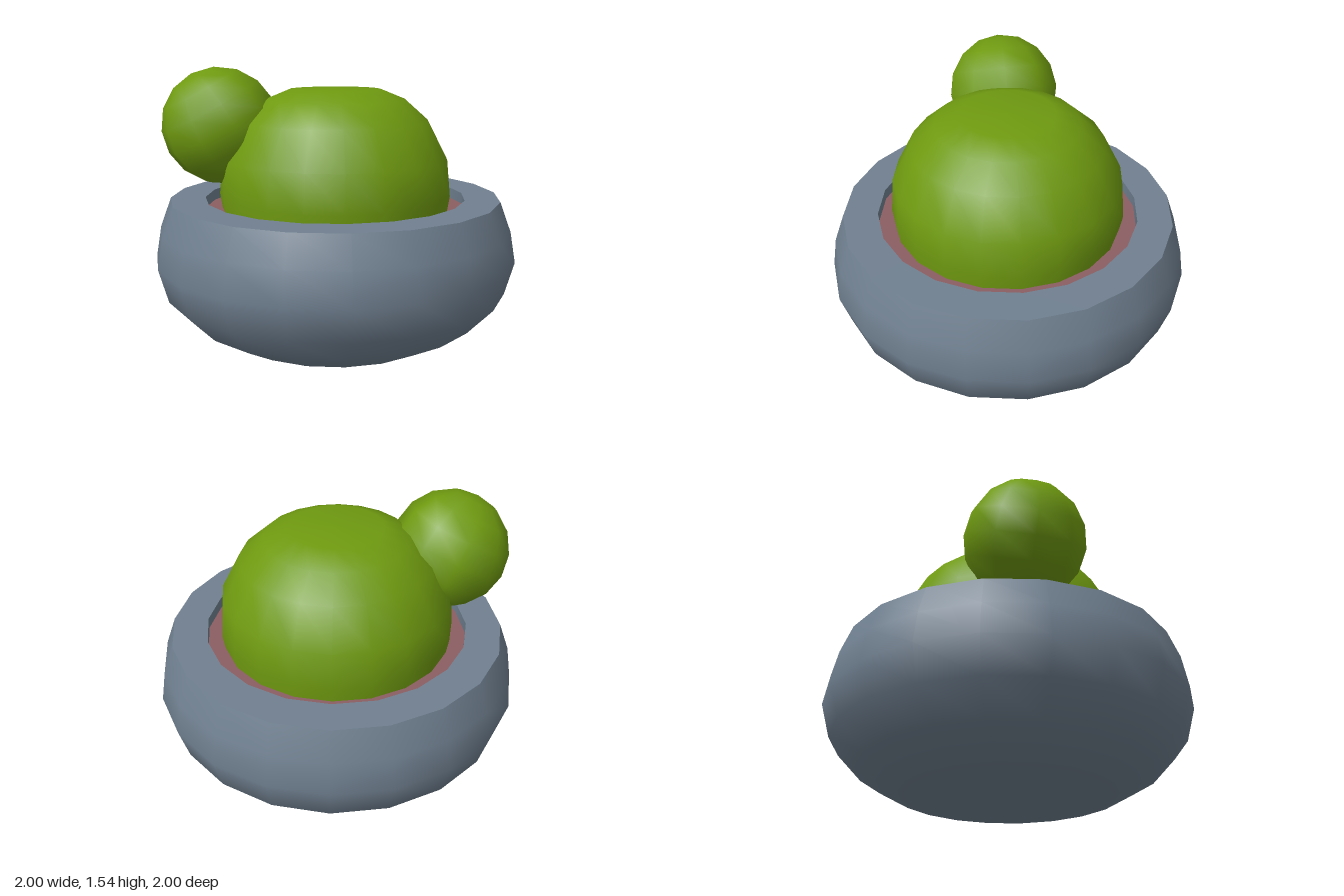
import * as THREE from 'three';

export function createModel() {
  const group = new THREE.Group();
  const material = (name, color) => {
    const m = new THREE.MeshStandardMaterial({ color });
    m.name = name;
    return m;
  };
  const slate = material('slate grey', 0x708090);
  const green = material('cactus green', 0x6f9a10);
  const soil = material('dusty red', 0x8b5e62);

  // Turned part with twenty sides, profile as [radius, height]
  const turned = (name, profile, mat) => {
    const points = profile.map(([r, y]) => new THREE.Vector2(r, y));
    const mesh = new THREE.Mesh(new THREE.LatheGeometry(points, 20, 0.042), mat);
    mesh.name = name;
    group.add(mesh);
  };

  // Pot: rounded outside, flat rim, short inner wall
  turned('potBody', [[0, 0], [0.41, 0.015], [0.62, 0.065], [0.81, 0.17], [0.95, 0.32],
    [1, 0.5], [0.97, 0.67], [0.91, 0.83]], slate);
  turned('potRim', [[0.91, 0.83], [0.72, 0.83]], slate);
  turned('potInnerWall', [[0.72, 0.83], [0.72, 0.76]], slate);
  turned('soil', [[0.72, 0.77], [0, 0.77]], soil);

  // Large cactus dome
  turned('cactusBody', [[0.6, 0.6], [0.64, 0.85], [0.62, 1.05], [0.515, 1.25],
    [0.385, 1.365], [0.25, 1.42], [0, 1.425]], green);

  // Small round offshoot, tilted away from the dome
  const bud = new THREE.Mesh(new THREE.SphereGeometry(0.322, 10, 8), green);
  bud.name = 'cactusBud';
  bud.position.set(-0.595, 1.22, -0.205);
  bud.rotation.set(-0.25, 0.3, 0.5);
  group.add(bud);

  return group;
}
